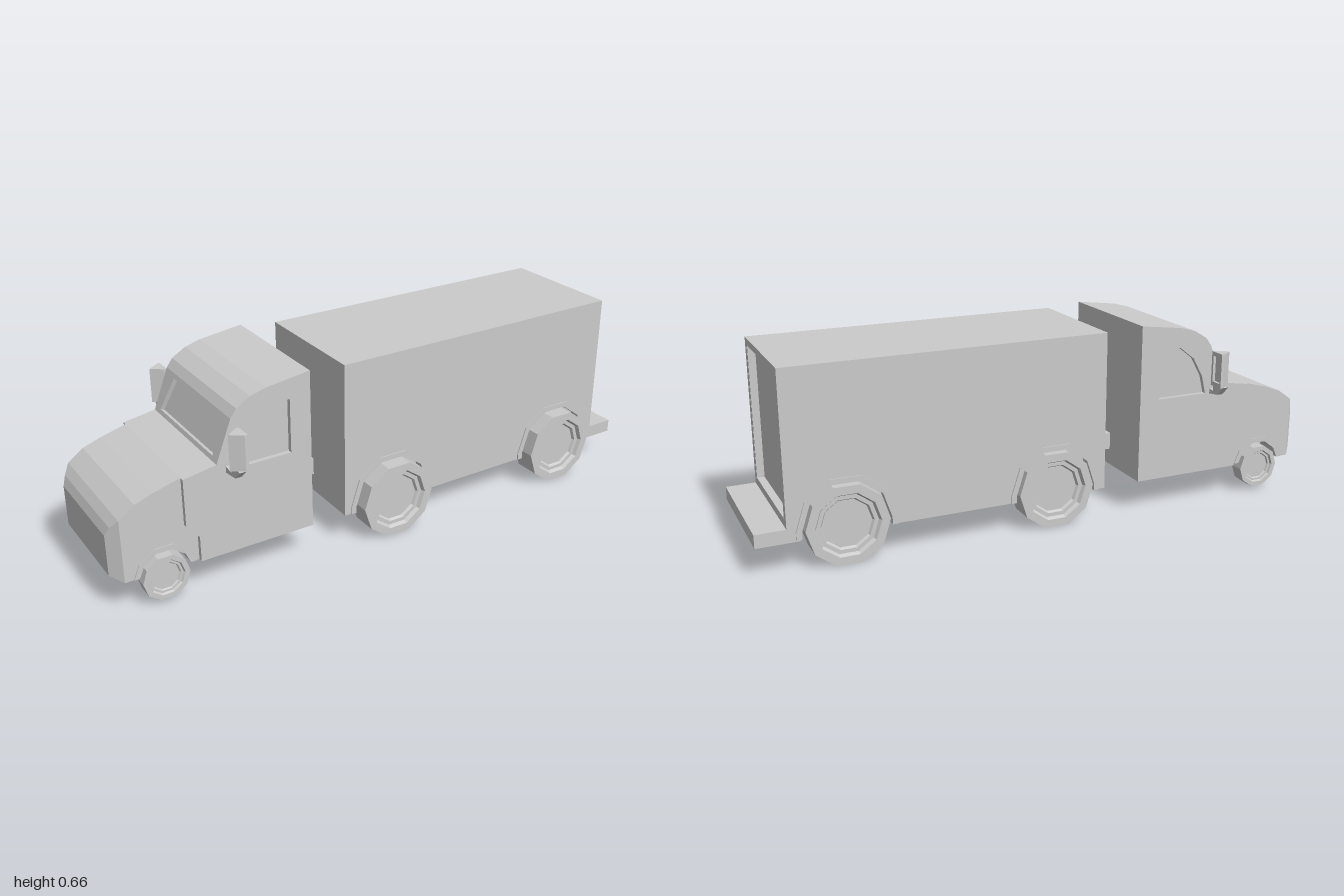
import * as THREE from 'three';

const material = new THREE.MeshStandardMaterial({ color: 0xcccccc, flatShading: true });
const ZC = -0.002; // trailer centre line
const CAB_Z = -0.008; // cab centre line

function add(parent, name, geometry, x = 0, y = 0, z = 0) {
  const mesh = new THREE.Mesh(geometry, material);
  mesh.name = name;
  mesh.position.set(x, y, z);
  parent.add(mesh);
  return mesh;
}

const toShape = (pts) => new THREE.Shape(pts.map(([x, y]) => new THREE.Vector2(x, y)));

function extrude(pts, depth, hole) {
  const shape = toShape(pts);
  if (hole) shape.holes.push(toShape(hole));
  return new THREE.ExtrudeGeometry(shape, { depth, bevelEnabled: false });
}

// Side-profile slab between two z planes
function slab(parent, name, pts, z0, z1, hole) {
  return add(parent, name, extrude(pts, z1 - z0, hole), 0, 0, z0);
}

function box(parent, name, x0, x1, y0, y1, z0, z1) {
  return add(parent, name, new THREE.BoxGeometry(x1 - x0, y1 - y0, z1 - z0),
    (x0 + x1) / 2, (y0 + y1) / 2, (z0 + z1) / 2);
}

// Faceted arch from left to right, ending on the base line
function arch(cx, cy, r, base) {
  const pts = [[cx - r, base]];
  for (let i = base < cy ? 5 : 4; i >= (base < cy ? 0 : 1); i--) {
    const a = i * Math.PI / 5;
    pts.push([cx + r * Math.cos(a), cy + r * Math.sin(a)]);
  }
  pts.push([cx + r, base]);
  return pts;
}

const archLip = (cx, cy, outer, inner, base) =>
  [...arch(cx, cy, outer, base), ...arch(cx, cy, inner, base).reverse()];

// Ten-sided wheel with a recessed hub on both faces
function wheel(parent, name, x, y, z, r, w) {
  const half = [[r, w / 2], [r * 0.79, w / 2], [r * 0.74, w * 0.36], [r * 0.64, w * 0.36], [r * 0.6, w * 0.26], [0, w * 0.26]];
  const pts = [...half.map(([a, b]) => [a, -b]).reverse(), ...half];
  const geo = new THREE.LatheGeometry(pts.map(([a, b]) => new THREE.Vector2(a, b)), 10, Math.PI / 2);
  geo.rotateX(Math.PI / 2);
  add(parent, name, geo, x, y, z);
}

function buildTrailer() {
  const g = new THREE.Group();
  g.name = 'trailer';
  const z0 = ZC - 0.2235, z1 = ZC + 0.2235, t = 0.03;
  const axles = [-0.008, 0.71];

  // Side walls with wheel arches
  const wall = [[-0.195, 0.105], ...axles.flatMap((x) => arch(x, 0.13, 0.145, 0.105)),
    [0.9, 0.105], [0.9, 0.65], [-0.195, 0.65]];
  slab(g, 'rightWall', wall, z0, z0 + t);
  slab(g, 'leftWall', wall, z1 - t, z1);

  // Cargo body, front skirt, rear frame and step
  box(g, 'cargoBody', -0.195, 0.875, 0.155, 0.65, z0 + t, z1 - t);
  box(g, 'frontSkirt', -0.195, -0.165, 0.105, 0.16, z0 + t, z1 - t);
  const rect = (a, b, y0, y1) => [[a, y0], [b, y0], [b, y1], [a, y1]];
  const frame = extrude(rect(-0.2235, 0.2235, 0.105, 0.65), 0.026, rect(-0.2, 0.2, 0.172, 0.627));
  frame.rotateY(Math.PI / 2);
  add(g, 'rearDoorFrame', frame, 0.8745, 0, ZC);
  box(g, 'rearStep', 0.86, 1.0, 0.1, 0.145, z0, z1);

  // Arch lips and wheels
  for (const x of axles) {
    const lip = archLip(x, 0.13, 0.163, 0.144, 0.105);
    slab(g, 'rightArchLip', lip, z0 - 0.004, z0 + t);
    slab(g, 'leftArchLip', lip, z1 - t, z1 + 0.004);
    wheel(g, 'leftTrailerWheel', x, 0.13, 0.219, 0.136, 0.092);
    wheel(g, 'rightTrailerWheel', x, 0.13, -0.192, 0.136, 0.092);
  }
  return g;
}

function buildCab() {
  const g = new THREE.Group();
  g.name = 'cab';
  const H = 0.215, P = 0.231, inner = 0.135;
  const roof = [[-0.32, 0.662], [-0.473, 0.642], [-0.527, 0.627], [-0.575, 0.598], [-0.596, 0.57]];
  const top = [...roof, [-0.582, 0.565], [-0.636, 0.425], [-0.65, 0.43], [-0.762, 0.412],
    [-0.85, 0.388], [-0.912, 0.366], [-0.965, 0.328]];
  const core = [[-0.965, 0.112], [-0.32, 0.112], ...top];
  const cut = [[-0.965, 0.112], ...arch(-0.834, 0.1, 0.085, 0.112), [-0.32, 0.112], ...top];

  // Centre body, then outer layers cut for the front wheels
  slab(g, 'cabCore', core, CAB_Z - inner, CAB_Z + inner);
  slab(g, 'leftBody', cut, CAB_Z + inner, CAB_Z + H);
  slab(g, 'rightBody', cut, CAB_Z - H, CAB_Z - inner);

  // Door panels with recessed side windows
  const panel = [[-0.72, 0.112], [-0.32, 0.112], ...roof, [-0.65, 0.43], [-0.762, 0.412], [-0.762, 0.25], [-0.72, 0.2]];
  const pane = [[-0.58, 0.4], [-0.393, 0.4], [-0.393, 0.585], [-0.473, 0.572], [-0.527, 0.53], [-0.565, 0.462]];
  slab(g, 'leftDoorPanel', panel, CAB_Z + H, CAB_Z + P, pane);
  slab(g, 'rightDoorPanel', panel, CAB_Z - P, CAB_Z - H, pane);

  // Nose narrowing towards the front
  const nose = extrude([[-0.965, 0.112], [-1, 0.13], [-1, 0.27], [-0.987, 0.3], [-0.965, 0.328]], 2 * H);
  nose.translate(0, 0, -H);
  const p = nose.attributes.position;
  for (let i = 0; i < p.count; i++) p.setZ(i, p.getZ(i) * (1 - 5 * (-0.965 - p.getX(i))));
  nose.computeVertexNormals();
  add(g, 'nose', nose, 0, 0, CAB_Z);

  // Windshield frame lying on the sloped front
  const up = new THREE.Vector3(0.054, 0.14, 0), len = up.length();
  up.normalize();
  const side = new THREE.Vector3(0, 0, 1), out = side.clone().cross(up);
  const frame = extrude([[-H, 0], [H, 0], [H, len], [-H, len]], 0.015,
    [[-0.195, 0.015], [0.195, 0.015], [0.165, len - 0.015], [-0.165, len - 0.015]]);
  frame.translate(0, 0, -0.015);
  frame.applyMatrix4(new THREE.Matrix4().makeBasis(side, up, out));
  add(g, 'windshieldFrame', frame, -0.65, 0.43, CAB_Z);

  // Front arch lips and wheels
  const lip = archLip(-0.834, 0.1, 0.102, 0.084, 0.112);
  slab(g, 'leftFrontArchLip', lip, CAB_Z + inner, CAB_Z + H + 0.003);
  slab(g, 'rightFrontArchLip', lip, CAB_Z - H - 0.003, CAB_Z - inner);
  wheel(g, 'leftFrontWheel', -0.834, 0.089, 0.189, 0.078, 0.052);
  wheel(g, 'rightFrontWheel', -0.834, 0.089, -0.205, 0.078, 0.052);
  return g;
}

// Wedge-shaped mirror on a bent arm
function buildMirror(s) {
  const g = new THREE.Group();
  g.name = s > 0 ? 'leftMirror' : 'rightMirror';
  const head = extrude([[-0.638, -0.289], [-0.598, -0.318], [-0.598, -0.26]], 0.12);
  head.rotateX(-Math.PI / 2);
  add(g, 'mirrorHead', head, 0, 0.435, s > 0 ? 0 : -0.578);
  const plate = (name, pts, depth, x, hole) => {
    const flip = (list) => list && list.map(([z, y]) => [-s * z, y]);
    const geo = extrude(flip(pts), depth, flip(hole));
    geo.rotateY(Math.PI / 2);
    add(g, name, geo, x);
  };
  plate('mirrorRim', [[0.26, 0.435], [0.318, 0.435], [0.318, 0.555], [0.26, 0.555]], 0.01, -0.598,
    [[0.269, 0.45], [0.31, 0.45], [0.31, 0.54], [0.269, 0.54]]);
  plate('mirrorArm', [[0.215, 0.394], [0.286, 0.404], [0.318, 0.436], [0.26, 0.436], [0.262, 0.412], [0.215, 0.418]], 0.022, -0.62);
  return g;
}

export function createModel() {
  const model = new THREE.Group();
  model.name = 'truck';
  model.add(buildTrailer(), buildCab(), buildMirror(1), buildMirror(-1));
  // Coupling bar between cab and trailer
  box(model, 'couplingBar', -0.33, -0.185, 0.17, 0.23, -0.036, 0.018);
  return model;
}
